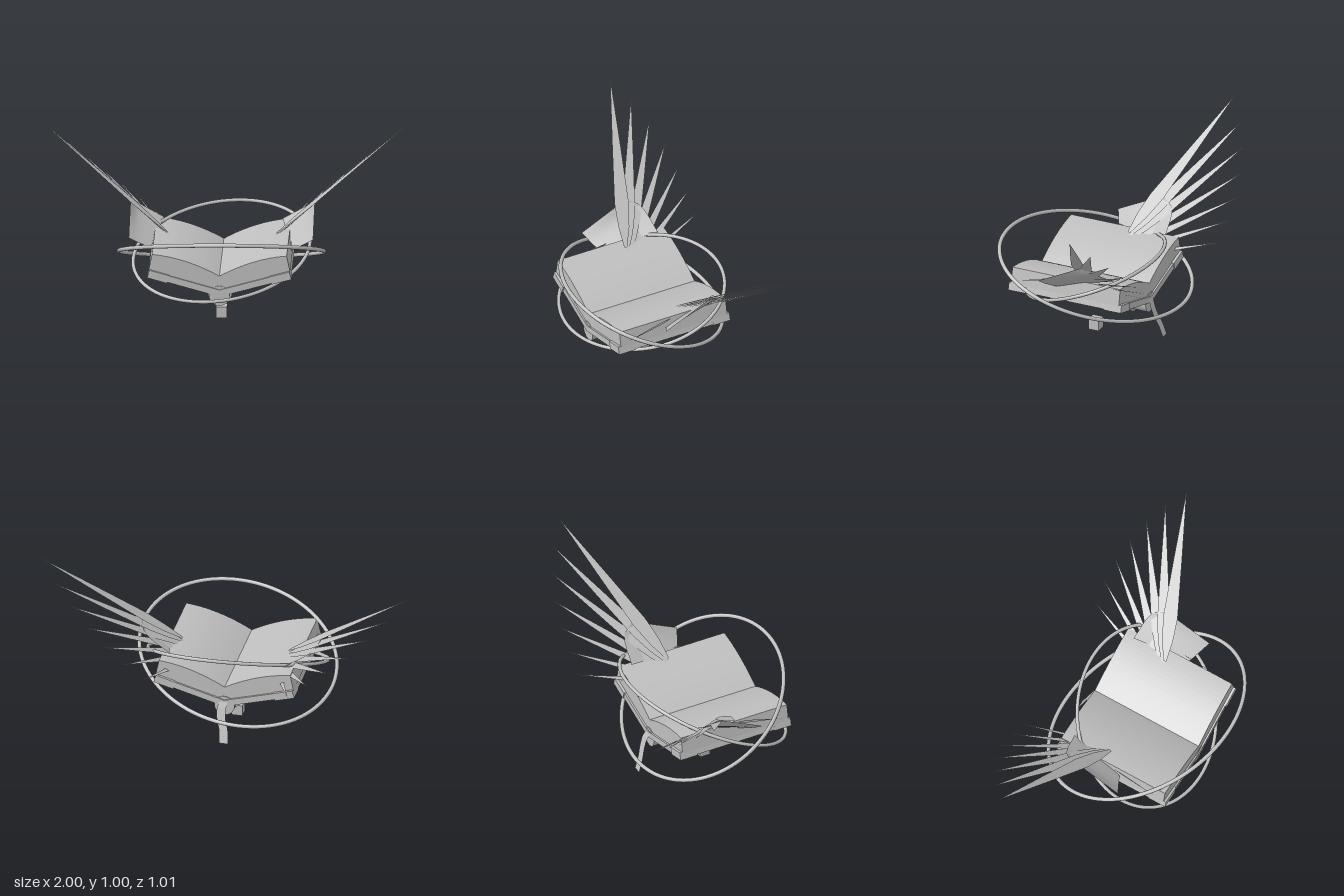
import * as THREE from 'three';

const V = (x, y, z) => new THREE.Vector3(x, y, z);
const CZ = 0.04; // z of the book's middle

export function createModel() {
  const root = new THREE.Group();
  root.name = 'wingedBook';
  const grey = new THREE.MeshStandardMaterial({ color: 0xbfbfbf, side: THREE.DoubleSide });
  grey.name = 'paleGrey';

  const add = (parent, name, geo, x = 0, y = 0, z = 0) => {
    const m = new THREE.Mesh(geo, grey);
    m.name = name;
    m.position.set(x, y, z);
    parent.add(m);
    return m;
  };

  // Sheet spanned between rows of points
  const sheet = (rows) => {
    const n = rows[0].length, pos = [], idx = [];
    rows.forEach((r) => r.forEach((p) => pos.push(p.x, p.y, p.z)));
    for (let i = 0; i < rows.length - 1; i++) {
      for (let j = 0; j < n - 1; j++) {
        const a = i * n + j;
        idx.push(a, a + 1, a + n, a + 1, a + n + 1, a + n);
      }
    }
    const g = new THREE.BufferGeometry();
    g.setAttribute('position', new THREE.Float32BufferAttribute(pos, 3));
    g.setIndex(idx);
    g.computeVertexNormals();
    return g;
  };

  // Flat tapering feather whose width runs along z
  const feather = (base, tip, width) => {
    const d = tip.clone().sub(base).normalize();
    const w = V(0, 0, 1).addScaledVector(d, -d.z).normalize();
    const profile = [[0, 0.2], [0.12, 0.75], [0.26, 1], [0.6, 0.58], [1, 0.02]];
    return sheet(profile.map(([t, k]) => {
      const c = base.clone().lerp(tip, t);
      return [-1, 1].map((s) => c.clone().addScaledVector(w, s * k * width / 2));
    }));
  };

  // Half of the book with its wing, then mirrored
  const tips = [
    [1, 0.997, -0.29], [0.914, 0.9, -0.37], [0.818, 0.806, -0.43], [0.716, 0.71, -0.475],
    [0.61, 0.617, -0.502], [0.5, 0.53, -0.508], [0.396, 0.445, -0.505],
  ];
  for (const side of [1, -1]) {
    const half = new THREE.Group();
    half.name = side > 0 ? 'leftHalf' : 'rightHalf';
    half.scale.x = side;
    root.add(half);

    // Cover board
    const board = new THREE.Shape([[0, 0.218], [0.382, 0.325], [0.372, 0.36], [0, 0.255]]
      .map((p) => new THREE.Vector2(...p)));
    add(half, 'cover', new THREE.ExtrudeGeometry(board, { depth: 0.654, bevelEnabled: false }), 0, 0, CZ - 0.327);

    // Corner guards
    for (const z of [0.322, -0.242]) {
      const guard = add(half, 'cornerGuard', new THREE.BoxGeometry(0.11, 0.044, 0.1), 0.325, 0.327, z);
      guard.rotation.z = 0.273;
    }

    // Page block with a swelling top
    const pages = new THREE.Shape();
    pages.moveTo(0, 0.25);
    pages.lineTo(0.376, 0.358);
    pages.lineTo(0.358, 0.447);
    pages.quadraticCurveTo(0.18, 0.432, 0, 0.33);
    add(half, 'pages', new THREE.ExtrudeGeometry(pages, { depth: 0.635, bevelEnabled: false, curveSegments: 14 }),
      0, 0, CZ - 0.317);

    // Wing root: curved sheet from the outer rim to the inner rim
    const outer = new THREE.QuadraticBezierCurve3(V(0.49, 0.468, 0.145), V(0.49, 0.53, 0.02), V(0.49, 0.6, -0.12));
    const mid = new THREE.QuadraticBezierCurve3(V(0.44, 0.433, 0.12), V(0.445, 0.5, -0.02), V(0.455, 0.555, -0.19));
    const inner = new THREE.QuadraticBezierCurve3(V(0.375, 0.397, 0.09), V(0.35, 0.43, -0.03), V(0.315, 0.465, -0.22));
    const rims = [outer, mid, inner].map((c) => c.getPoints(8));
    const rows = rims[0].map((_, i) =>
      new THREE.CatmullRomCurve3(rims.map((r) => r[i])).getPoints(8));
    add(half, 'wingRoot', sheet(rows));

    // Fan of feathers
    tips.forEach((t, i) => {
      const k = i / 6;
      const base = V(0.29, 0.45, -0.015).lerp(V(0.23, 0.35, -0.05), k);
      add(half, 'feather', feather(base, V(...t), 0.08 - 0.05 * k));
    });
    add(half, 'smallFeather', feather(V(0.372, 0.445, 0.06), V(0.378, 0.385, 0.314), 0.014));
  }

  // Spine with raised bands
  const spine = add(root, 'spine', new THREE.CylinderGeometry(0.055, 0.055, 0.642, 32), 0, 0.22, CZ);
  spine.rotation.x = Math.PI / 2;
  for (let i = -2; i <= 2; i++) {
    const band = add(root, 'spineBand', new THREE.CylinderGeometry(0.068, 0.068, 0.038, 32), 0, 0.22, CZ + i * 0.107);
    band.rotation.x = Math.PI / 2;
  }

  // Two crossed oval rings
  const ring = (name, rx, skew, rz, slope, r) => {
    const pts = [];
    for (let i = 0; i < 48; i++) {
      const a = i / 48 * Math.PI * 2;
      const z = skew * Math.cos(a) + Math.sqrt(rz * rz - skew * skew) * Math.sin(a);
      pts.push(V(rx * Math.cos(a), 0.365 + slope * z, CZ + z));
    }
    add(root, name, new THREE.TubeGeometry(new THREE.CatmullRomCurve3(pts, true), 128, r, 10, true));
  };
  ring('outerRing', 0.55, 0.09, 0.453, 0.402, 0.011);
  ring('innerRing', 0.467, -0.077, 0.388, -0.405, 0.01);

  // Ribbon hanging behind the spine
  const path = new THREE.CatmullRomCurve3([
    V(0.0, 0.25, -0.285), V(0.012, 0.21, -0.301), V(0.009, 0.16, -0.317), V(-0.008, 0.1, -0.338), V(-0.014, 0.033, -0.36),
  ]);
  add(root, 'ribbon', sheet(path.getPoints(16).map((p) => [p.clone().add(V(-0.024, 0, 0)), p.clone().add(V(0.024, 0, 0))])));

  // Small floating cube
  add(root, 'cube', new THREE.BoxGeometry(0.06, 0.06, 0.06), 0, 0.03, CZ);

  return root;
}
